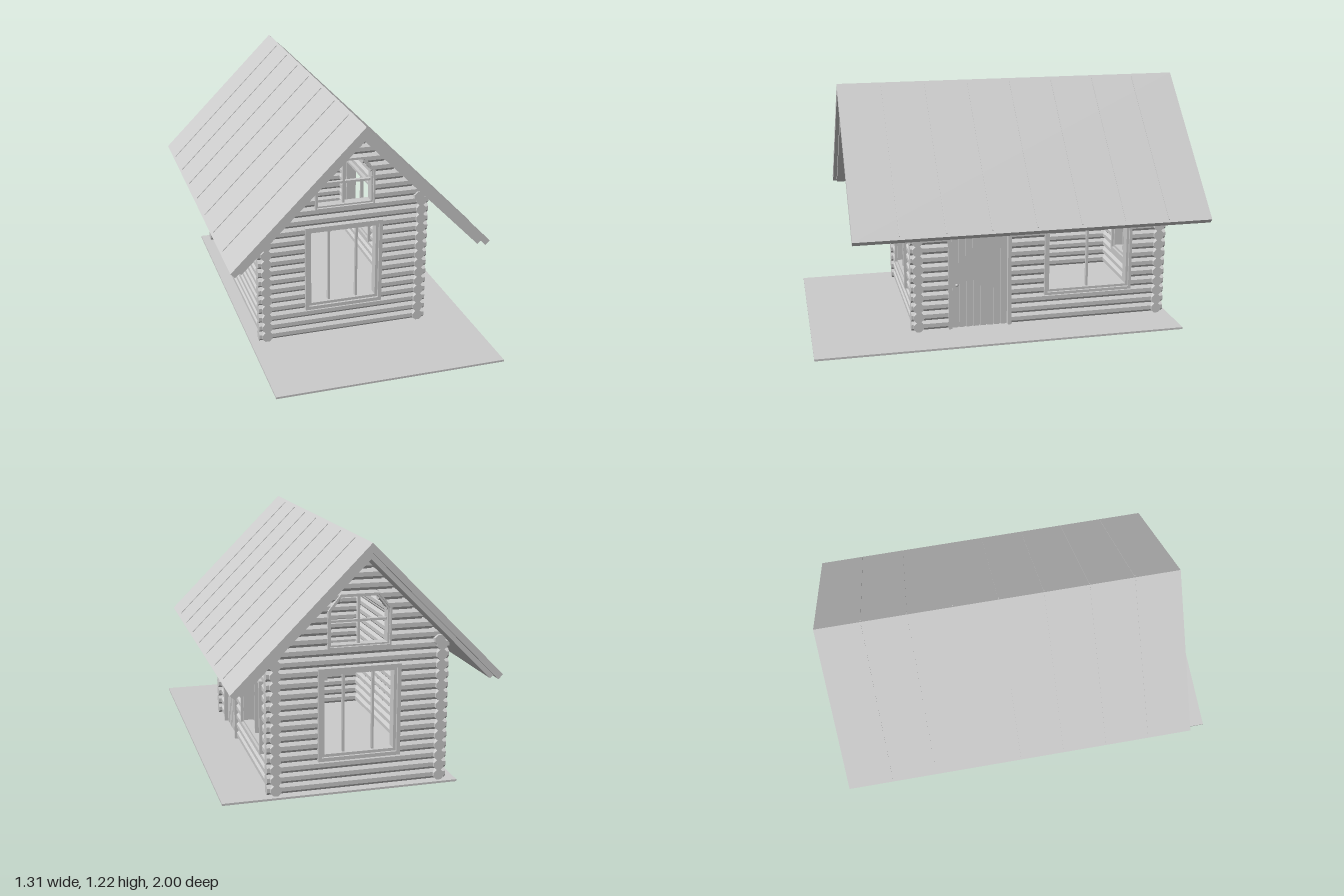
import * as THREE from 'three';

const mat = new THREE.MeshStandardMaterial({ color: 0xcccccc, flatShading: true });
const CX = -0.01, STEP = 0.0503, FIRST = 0.035, RIDGE = 1.215;
const LOG_R = STEP / 2 / Math.cos(Math.PI / 8);

function add(parent, name, geo, x = 0, y = 0, z = 0) {
  const m = new THREE.Mesh(geo, mat);
  m.name = name;
  m.position.set(x, y, z);
  parent.add(m);
  return m;
}

const box = (parent, name, w, h, d, x, y, z) =>
  add(parent, name, new THREE.BoxGeometry(w, h, d), x, y, z);

// Octagonal log lying along x from x0 to x1
function log(parent, x0, x1, y, r = LOG_R, z = 0) {
  if (x1 - x0 < 0.005) return;
  const g = new THREE.CylinderGeometry(r, r, x1 - x0, 8);
  g.rotateY(Math.PI / 8).rotateZ(Math.PI / 2);
  add(parent, 'log', g, (x0 + x1) / 2, y, z);
}

const toPoints = pts => pts.map(p => new THREE.Vector2(p[0], p[1]));

// Outline extruded along z, centred on z = 0
function prism(pts, hole, depth) {
  const s = new THREE.Shape(toPoints(pts));
  if (hole) s.holes.push(new THREE.Path(toPoints(hole)));
  return new THREE.ExtrudeGeometry(s, { depth, bevelEnabled: false }).translate(0, 0, -depth / 2);
}

// Rectangle with optional cut top corners, shrunk by "inset"
function outline({ x0, x1, y0, y1, cutX = 0, cutY = 0 }, inset) {
  const a = x0 + inset, b = x1 - inset, c = y0 + inset, d = y1 - inset;
  if (!cutX) return [[a, c], [b, c], [b, d], [a, d]];
  const k = inset * 0.45;
  return [[a, c], [b, c], [b, y1 - cutY - k], [x1 - cutX - k, d], [x0 + cutX + k, d], [a, y1 - cutY - k]];
}

// Stepped window frame with glazing bars
function windowFrame(parent, name, o, casing, sash, bars, rails = []) {
  const g = new THREE.Group();
  g.name = name;
  parent.add(g);
  add(g, 'casing', prism(outline(o, 0), outline(o, casing), 0.074));
  add(g, 'sash', prism(outline(o, casing), outline(o, casing + sash), 0.05));
  const t = casing + sash / 2;
  for (const x of bars) box(g, 'glazingBar', 0.011, o.y1 - o.y0 - 2 * t, 0.02, x, (o.y0 + o.y1) / 2, 0);
  for (const y of rails) box(g, 'glazingRail', o.x1 - o.x0 - 2 * t, 0.011, 0.02, (o.x0 + o.x1) / 2, y, 0);
}

// Stack of logs; openings split the rows whose centre lies inside them
function logWall(parent, rows, halfLength, openings) {
  for (let k = 0; k < rows; k++) {
    const y = FIRST + k * STEP, half = halfLength(y);
    let start = -half;
    for (const o of openings) {
      if (y < o.y0 || y > o.y1) continue;
      const over = o.cutX ? Math.max(0, y - (o.y1 - o.cutY)) * o.cutX / o.cutY : 0;
      log(parent, start, o.x0 + 0.012 + over, y);
      start = o.x1 - 0.012 - over;
    }
    log(parent, start, half, y);
  }
}

function gableWall(parent, name, z) {
  const g = new THREE.Group();
  g.name = name;
  g.position.set(CX, 0, z);
  parent.add(g);
  const big = { x0: -0.204, x1: 0.2, y0: 0.158, y1: 0.61 };
  const attic = { x0: -0.152, x1: 0.155, y0: 0.7, y1: 0.956, cutX: 0.06, cutY: 0.075 };
  // Logs above the eaves shorten to follow the roof slope
  logWall(g, 22, y => Math.min(0.445, RIDGE - 0.068 - y), [big, attic]);
  windowFrame(g, 'largeWindow', big, 0.018, 0.014, [-0.074, 0.071]);
  windowFrame(g, 'atticWindow', attic, 0.008, 0.008, [0], [0.825]);
}

function sideWall(parent, name, x, openings) {
  const g = new THREE.Group();
  g.name = name;
  g.position.set(x, 0, -0.17);
  g.rotation.y = Math.PI / 2;
  parent.add(g);
  logWall(g, 14, () => 0.67, openings);
  // Wall plate under the rafters, set slightly inward
  log(g, -0.67, 0.67, 0.711, LOG_R, x > 0 ? -0.012 : 0.012);
  return g;
}

function door(parent, o) {
  const g = new THREE.Group();
  g.name = 'door';
  parent.add(g);
  const w = 0.018, x0 = o.x0 + w, x1 = o.x1 - w, h = 0.515, y = 0.01 + h / 2;
  for (const x of [o.x0 + w / 2, o.x1 - w / 2]) box(g, 'doorJamb', w, h, 0.07, x, y, 0);
  box(g, 'doorHead', o.x1 - o.x0, 0.018, 0.07, (x0 + x1) / 2, 0.532, 0);
  box(g, 'doorPanel', x1 - x0, h, 0.014, (x0 + x1) / 2, y, 0);
  // Vertical planks on both faces
  const n = 8, p = (x1 - x0) / n;
  for (let i = 0; i < n; i++) box(g, 'doorPlank', p - 0.007, h, 0.032, x0 + (i + 0.5) * p, y, 0);
  add(g, 'doorKnob', new THREE.SphereGeometry(0.008, 10, 8), x0 + 0.026, 0.24, 0.022);
}

function roof(parent) {
  const g = new THREE.Group();
  g.name = 'roof';
  g.position.set(CX, 0, -0.1);
  parent.add(g);
  // Mirrored slope profile given as right-hand top ridge, eave corners, lower ridge
  const chevron = (top, e1, e2, low) =>
    [[0, top], [-e1[0], e1[1]], [-e2[0], e2[1]], [0, low], e2, e1];
  add(g, 'roofCovering', prism(chevron(RIDGE, [0.645, 0.57], [0.623, 0.548], 1.171), null, 1.8));
  add(g, 'roofBoarding', prism(chevron(1.171, [0.606, 0.565], [0.59, 0.549], 1.139), null, 1.76));
  // Thin seams between the roof sheets
  for (const s of [-1, 1]) {
    for (let i = 1; i < 8; i++) {
      const m = box(g, 'roofSeam', 0.88, 0.006, 0.005, s * 0.322, RIDGE - 0.322, 0.9 - i * 0.225);
      m.rotation.z = -s * Math.PI / 4;
    }
  }
}

export function createModel() {
  const model = new THREE.Group();
  model.name = 'logCabin';

  box(model, 'groundSlab', 1.155, 0.01, 1.86, 0.0775, 0.005, 0.07);

  gableWall(model, 'frontWall', 0.465);
  gableWall(model, 'backWall', -0.8);

  const doorway = { x0: -0.48, x1: -0.155, y0: 0, y1: 0.525 };
  const sideWindow = { x0: 0.02, x1: 0.485, y0: 0.155, y1: 0.518 };
  const left = sideWall(model, 'leftWall', 0.395, [doorway, sideWindow]);
  door(left, doorway);
  windowFrame(left, 'sideWindow', sideWindow, 0.014, 0.012, [0.2525]);
  sideWall(model, 'rightWall', -0.415, []);

  roof(model);
  return model;
}
